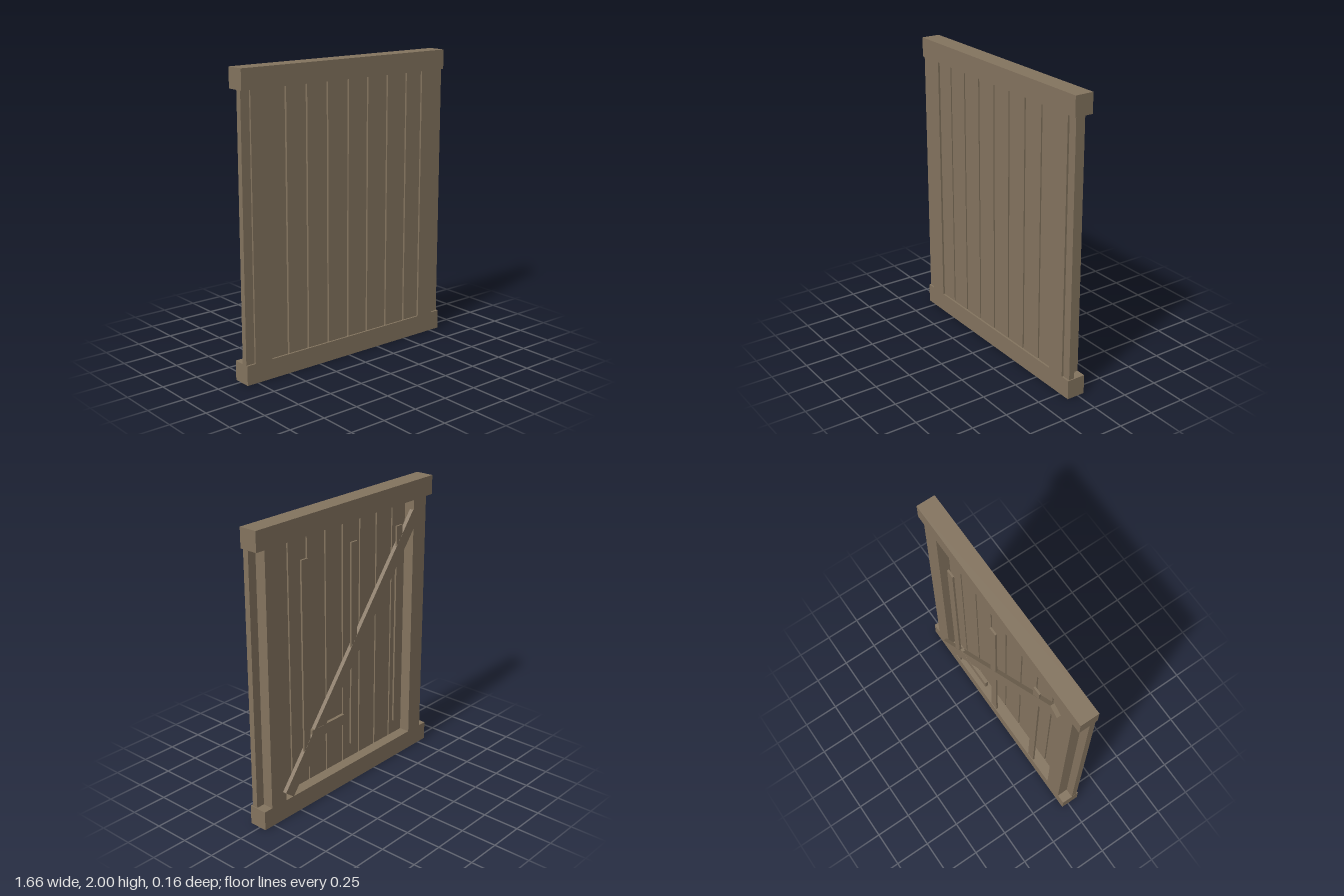
import * as THREE from 'three';

export function createModel() {
  const gate = new THREE.Group();
  gate.name = 'gate';
  const wood = new THREE.MeshStandardMaterial({ color: 0x84745f });
  wood.name = 'weathered wood';

  // Box given by its extents on each axis
  function board(name, [x0, x1], [y0, y1], [z0, z1]) {
    const mesh = new THREE.Mesh(new THREE.BoxGeometry(x1 - x0, y1 - y0, z1 - z0), wood);
    mesh.position.set((x0 + x1) / 2, (y0 + y1) / 2, (z0 + z1) / 2);
    mesh.name = name;
    gate.add(mesh);
    return mesh;
  }

  // Frame: two full-width rails and two stiles set in from the ends
  const frameZ = [-0.05, 0.079];
  board('bottomRail', [-0.83, 0.83], [0, 0.132], frameZ);
  board('topRail', [-0.83, 0.83], [1.868, 2], frameZ);
  board('rightStile', [-0.766, -0.637], [0.132, 1.868], frameZ);
  board('leftStile', [0.633, 0.763], [0.132, 1.868], frameZ);

  // Ten upright planks with narrow gaps, running through the stiles
  const gaps = [-0.667, -0.498, -0.336, -0.17, -0.001, 0.163, 0.332, 0.5, 0.665];
  const halfGap = 0.006;
  const edges = [-0.829 - halfGap, ...gaps, 0.823 + halfGap];
  for (let i = 0; i < edges.length - 1; i++) {
    board('plank' + (i + 1), [edges[i] + halfGap, edges[i + 1] - halfGap], [0.12, 1.88], [0.026, 0.066]);
  }

  // Diagonal brace across the back
  const brace = board('diagonalBrace', [-1.02, 1.02], [0.941, 1.029], [-0.078, -0.05]);
  brace.rotation.z = -Math.atan(1.28);

  // Thin upright battens behind the planks
  for (const x of [-0.457, -0.002, 0.455]) {
    board('backBatten', [x - 0.029, x + 0.029], [0.31, 1.74], [-0.077, -0.064]);
  }

  // Short latch bar beside the brace
  board('latchBar', [0.1, 0.41], [0.49, 0.562], [-0.079, -0.057]);

  return gate;
}
